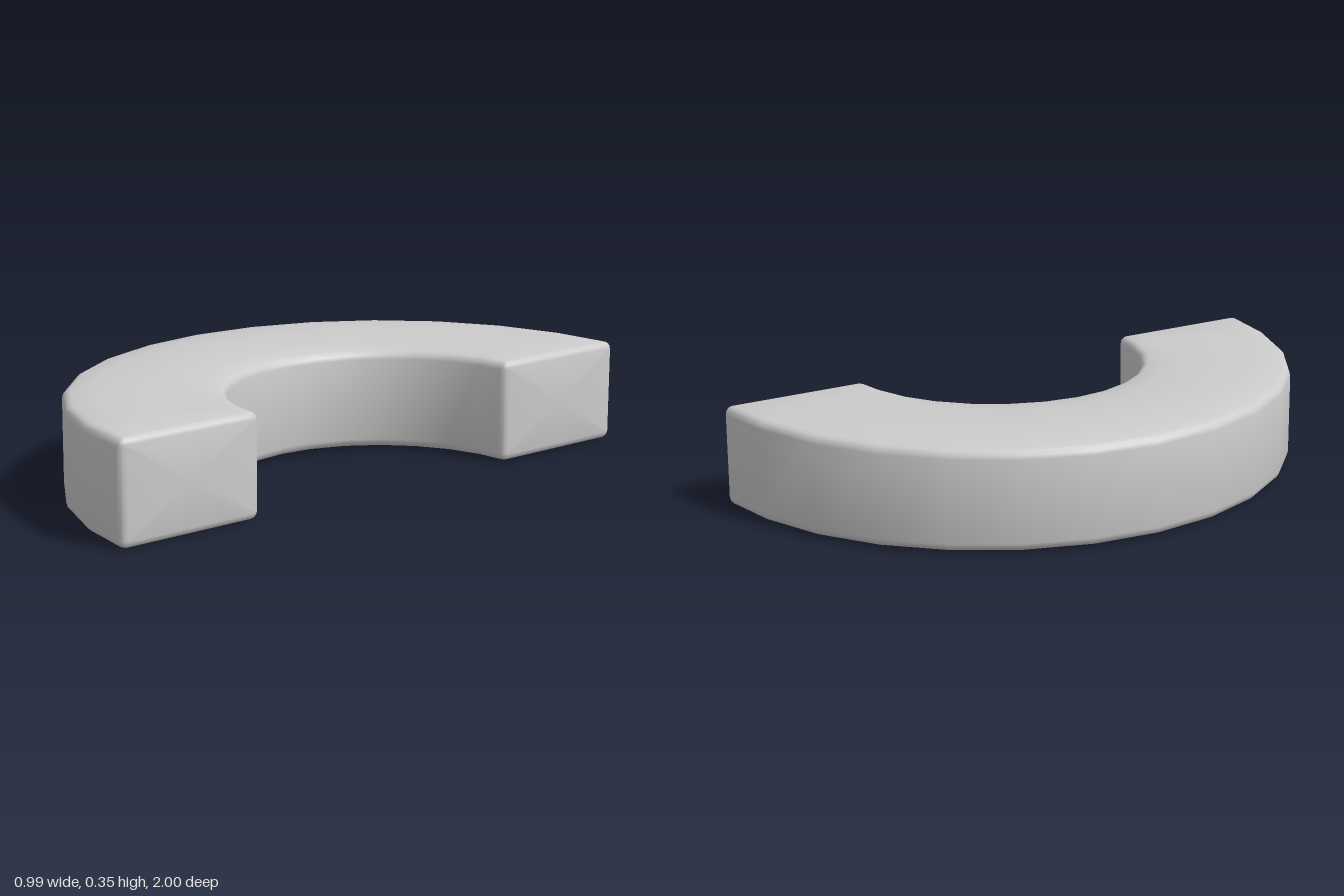
import * as THREE from 'three';
import { toCreasedNormals } from 'three/addons/utils/BufferGeometryUtils.js';

const INNER = 0.5, OUTER = 1, HEIGHT = 0.335, BEVEL = 0.022, SEGMENTS = 14;

// Rounded rectangle in (radius, height), counterclockwise, with extra points along top and bottom
function section(inset) {
  const points = [];
  const rad = BEVEL - inset + 0.004;
  const r0 = INNER + inset, r1 = OUTER - inset;
  const y0 = 0.006 + inset, y1 = HEIGHT - inset;
  const corner = (cx, cy, start) => {
    for (let k = 0; k <= 3; k++) {
      const t = start + (k / 3) * Math.PI / 2;
      points.push([cx + rad * Math.cos(t), cy + rad * Math.sin(t)]);
    }
  };
  const span = (from, to, y) => {
    for (let k = 1; k < 6; k++) points.push([from + (to - from) * k / 6, y]);
  };
  corner(r1 - rad, y1 - rad, 0);
  span(r1 - rad, r0 + rad, y1);
  corner(r0 + rad, y1 - rad, Math.PI / 2);
  corner(r0 + rad, y0 + rad, Math.PI);
  span(r0 + rad, r1 - rad, y0);
  corner(r1 - rad, y0 + rad, Math.PI * 1.5);
  return points;
}

// Sweeps the section around the half circle; the faces swell gently towards the middle
function halfRingGeometry() {
  // Stations: rounded end, arc, rounded end
  const stations = [];
  const ends = [0, 1, 2, 3].map((k) => {
    const t = (k / 3) * Math.PI / 2;
    return { shift: 0.007 + BEVEL * (1 - Math.cos(t)), inset: BEVEL * (1 - Math.sin(t)) };
  });
  ends.forEach((e) => stations.push({ angle: 0, ...e }));
  for (let k = 1; k < SEGMENTS; k++) stations.push({ angle: k * Math.PI / SEGMENTS, shift: 0, inset: 0 });
  ends.reverse().forEach((e) => stations.push({ angle: Math.PI, ...e }));

  const positions = [], index = [];
  for (const { angle, shift, inset } of stations) {
    const s = Math.sin(angle);
    for (const [r, y] of section(inset)) {
      const u = (r - 0.75) / 0.25;
      const z = r * Math.cos(angle);
      const top = s * (0.014 - 0.022 * u * u - 0.006 * z);
      const bottom = s * (0.012 * u * u - 0.006);
      const h = y / HEIGHT;
      positions.push(0.5 - shift - r * s, y + top * h + bottom * (1 - h), z);
    }
  }

  const n = section(0).length;
  const last = (stations.length - 1) * n;
  for (let i = 0; i < stations.length - 1; i++) {
    for (let j = 0; j < n; j++) {
      const a = i * n + j, b = i * n + (j + 1) % n;
      index.push(a, b, a + n, b, b + n, a + n);
    }
  }
  // Flat end faces
  const c = positions.length / 3;
  positions.push(0.493, HEIGHT / 2, 0.75, 0.493, HEIGHT / 2, -0.75);
  for (let j = 0; j < n; j++) {
    const k = (j + 1) % n;
    index.push(c, k, j, c + 1, last + j, last + k);
  }

  const geometry = new THREE.BufferGeometry();
  geometry.setAttribute('position', new THREE.Float32BufferAttribute(positions, 3));
  geometry.setIndex(index);
  return toCreasedNormals(geometry, 0.65);
}

export function createModel() {
  const group = new THREE.Group();
  group.name = 'halfRingBlock';
  const ring = new THREE.Mesh(halfRingGeometry(), new THREE.MeshStandardMaterial({ color: 0xcccccc }));
  ring.name = 'halfRing';
  group.add(ring);
  return group;
}
